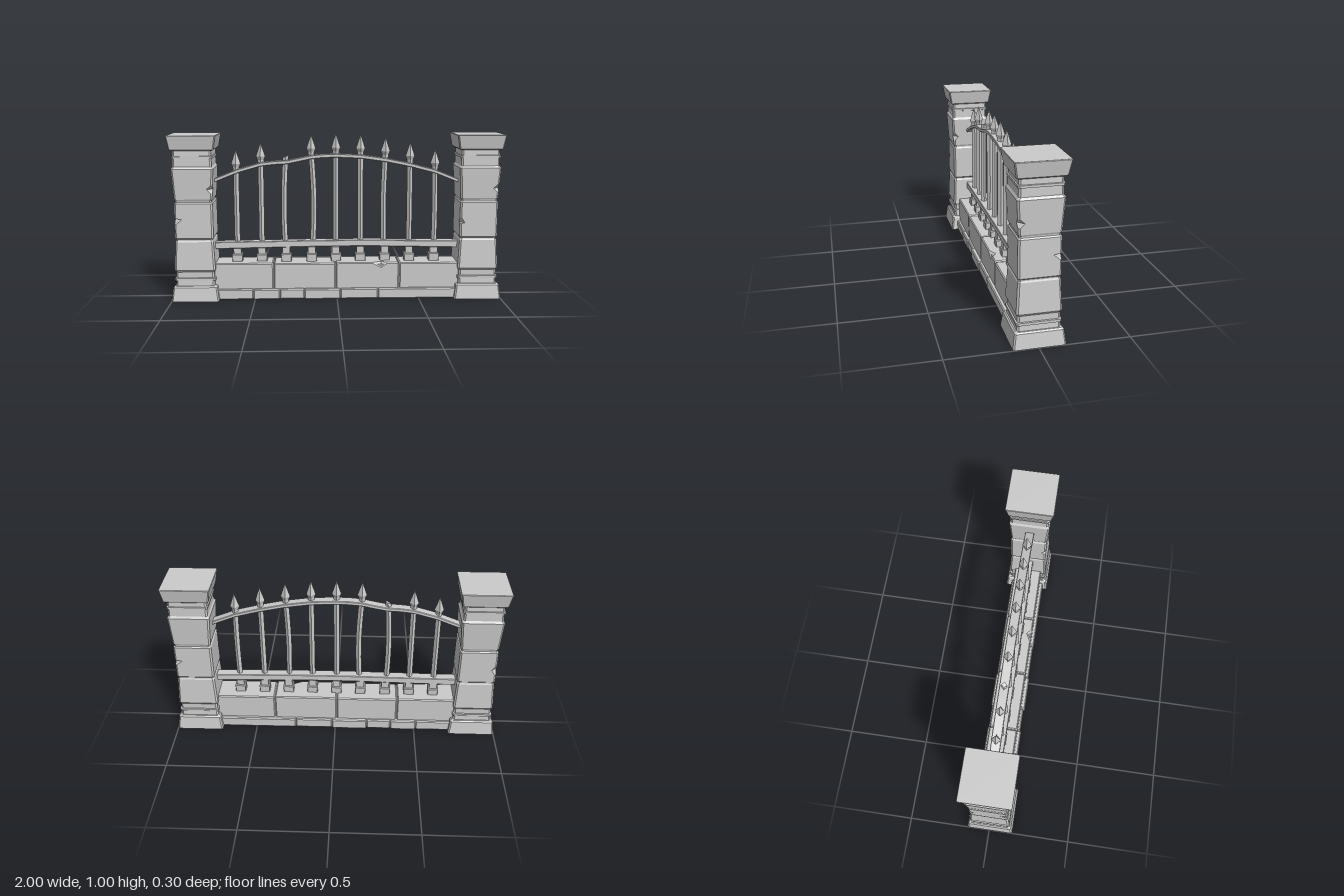
import * as THREE from 'three';

const material = new THREE.MeshStandardMaterial({ color: 0xcccccc, flatShading: true });

// Skin a row of equal-sized cross-sections (counter-clockwise seen from +y) and cap both ends.
function loft(sections) {
  const n = sections[0].length, index = [];
  const last = (sections.length - 1) * n;
  for (let i = 0; i < last; i += n) {
    for (let j = 0; j < n; j++) {
      const a = i + j, b = i + (j + 1) % n;
      index.push(a, b, b + n, a, b + n, a + n);
    }
  }
  for (let j = 1; j < n - 1; j++) {
    index.push(0, j + 1, j, last, last + j, last + j + 1);
  }
  const g = new THREE.BufferGeometry();
  g.setAttribute('position', new THREE.Float32BufferAttribute(sections.flat(2), 3));
  g.setIndex(index);
  const flat = g.toNonIndexed();
  flat.computeVertexNormals();
  return flat;
}

// Rectangle with one chamfer per corner; corner order: (+x+z), (+x-z), (-x-z), (-x+z).
const CORNERS = [[1, 1], [1, -1], [-1, -1], [-1, 1]];
function chamferedRect(y, hx, hz, chamfers, cx = 0) {
  return CORNERS.flatMap(([sx, sz], i) => {
    const c = chamfers[i];
    const onZ = [cx + sx * (hx - c), y, sz * hz];
    const onX = [cx + sx * hx, y, sz * (hz - c)];
    return sx * sz > 0 ? [onZ, onX] : [onX, onZ];
  });
}
const even = (c) => [c, c, c, c];

// Square section standing on its corner, for bars and spikes
const diamond = (y, r, cx = 0) => [[cx + r, y, 0], [cx, y, -r], [cx - r, y, 0], [cx, y, r]];

function add(parent, name, geometry, x = 0, y = 0, z = 0) {
  const mesh = new THREE.Mesh(geometry, material);
  mesh.name = name;
  mesh.position.set(x, y, z);
  parent.add(mesh);
  return mesh;
}

// Half widths up the pillar shaft: neck bands, three stones with joints, upper bands
const SHAFT = [
  [0.08, 0.117], [0.124, 0.114], [0.126, 0.122], [0.141, 0.122], [0.143, 0.114],
  [0.178, 0.114], [0.19, 0.122], [0.362, 0.113], [0.37, 0.109], [0.378, 0.109],
  [0.385, 0.115], [0.594, 0.114], [0.602, 0.108], [0.609, 0.108], [0.62, 0.113],
  [0.802, 0.124], [0.815, 0.115], [0.861, 0.114], [0.863, 0.12], [0.876, 0.12],
  [0.878, 0.114], [0.92, 0.112],
];

// Half width of the shaft at any height
function shaftWidth(y) {
  const i = SHAFT.findIndex((p) => p[0] > y);
  const [a, b] = [SHAFT[i - 1], SHAFT[i]];
  return THREE.MathUtils.lerp(a[1], b[1], (y - a[0]) / (b[0] - a[0]));
}

// chips: [corner, height, reach down, reach up, depth]
function makePillar(name, chips) {
  const pillar = new THREE.Group();
  pillar.name = name;
  add(pillar, 'pillarBase', loft([[0, 0.143], [0.085, 0.132], [0.093, 0.124]]
    .map(([y, w]) => chamferedRect(y, w, w, even(0.008)))));

  const rows = SHAFT.map((p) => [...p]);
  for (const [, y, down, up] of chips) {
    for (const t of [y - down, y, y + up]) rows.push([t, shaftWidth(t)]);
  }
  rows.sort((a, b) => a[0] - b[0]);
  add(pillar, 'pillarShaft', loft(rows.map(([y, w]) => {
    const chamfers = even(0.01);
    for (const [corner, cy, , , depth] of chips) if (y === cy) chamfers[corner] = depth;
    return chamferedRect(y, w, w, chamfers);
  })));

  add(pillar, 'pillarCap', loft([[0.91, 0.122], [0.917, 0.131], [0.997, 0.145], [1, 0.143]]
    .map(([y, w]) => chamferedRect(y, w, w, even(0.006)))));
  return pillar;
}

// Stone lying along x with softened edges; chip = [x, depth] on the top front edge
function makeStone(x0, x1, y0, y1, hz, chip) {
  const hy = (y1 - y0) / 2, b = 0.006;
  const ring = (x, inset, front = b) => chamferedRect(x, hy - inset, hz - inset, [b, b, b, front]);
  const rings = [ring(x0, b), ring(x0 + b, 0)];
  if (chip) {
    const [x, depth] = chip;
    rings.push(ring(x - 0.05, 0), ring(x, 0, depth), ring(x + 0.035, 0));
  }
  rings.push(ring(x1 - b, 0), ring(x1, b));
  return loft(rings).rotateZ(-Math.PI / 2).translate(0, (y0 + y1) / 2, 0);
}

// Rail following points [x, y, half height]
function makeRail(points, hz) {
  return loft(points.map(([x, y, h]) => chamferedRect(x, h, hz, even(0.003), -y)))
    .rotateZ(-Math.PI / 2);
}

// Bar positions: x, spike tip height, sideways bend
const BARS = [
  [-0.61, 0.905, 0], [-0.46, 0.948, 0], [-0.31, 0, -0.012], [-0.155, 0.995, 0.016],
  [-0.005, 1, 0], [0.145, 0.995, 0], [0.296, 0.978, -0.01], [0.447, 0.948, 0],
  [0.6, 0.905, 0.004],
];

function makeBar([x, tip, bend]) {
  const bar = new THREE.Group();
  bar.name = 'fenceBar';
  bar.position.x = x;
  const broken = tip === 0;
  const top = broken ? 0.85 : tip - 0.105;
  const rings = [];
  for (let i = 0; i <= 8; i++) {
    const t = i / 8;
    rings.push(diamond(0.22 + t * (top - 0.22), 0.017, bend * Math.sin(Math.PI * t)));
  }
  // Snapped end leans over
  if (broken) rings.push(diamond(0.864, 0.016, 0.004).map(([px, py, pz]) => [px, py + px * 0.4, pz]));
  add(bar, 'barShaft', loft(rings));
  if (!broken) {
    add(bar, 'spike', loft([[-0.118, 0.019], [-0.105, 0.019], [-0.083, 0.028], [0, 0.0008]]
      .map(([y, r]) => diamond(tip + y, r))));
  }
  // Square foot and collar
  add(bar, 'barFoot', loft([[0.215, 0.031], [0.262, 0.033], [0.266, 0.029]]
    .map(([y, w]) => chamferedRect(y, w, w, even(0.003)))));
  add(bar, 'barCollar', new THREE.BoxGeometry(0.046, 0.045, 0.046), 0, 0.285, 0);
  return bar;
}

export function createModel() {
  const model = new THREE.Group();
  model.name = 'fenceSection';

  // Pillars, each with its own chipped corners
  const left = makePillar('leftPillar', [
    [0, 0.68, 0.025, 0.025, 0.035], [1, 0.5, 0.035, 0.075, 0.045], [3, 0.47, 0.03, 0.035, 0.03],
  ]);
  left.position.set(0.857, 0, -0.005);
  const right = makePillar('rightPillar', [
    [3, 0.5, 0.03, 0.07, 0.045], [0, 0.68, 0.025, 0.025, 0.035], [2, 0.47, 0.03, 0.035, 0.03],
  ]);
  right.position.set(-0.857, 0, 0.003);
  model.add(left, right);

  // Low wall: footing course and upper course
  const footing = [-0.76, -0.51, -0.35, -0.2, 0.02, 0.25, 0.76];
  const depths = [0.106, 0.11, 0.104, 0.112, 0.106, 0.109];
  depths.forEach((d, i) => add(model, 'footingStone',
    makeStone(footing[i], footing[i + 1], 0, 0.064, d)));
  const joints = [-0.77, -0.387, -0.009, 0.38, 0.77];
  for (let i = 0; i < 4; i++) {
    add(model, 'wallStone', makeStone(joints[i] + 0.002, joints[i + 1] - 0.002, 0.055,
      0.222 - (i % 2) * 0.003, 0.088, i === 2 ? [0.27, 0.032] : null));
  }
  add(model, 'wallCore', new THREE.BoxGeometry(1.5, 0.2, 0.16), 0, 0.11, 0);

  // Rails
  add(model, 'lowerRail', makeRail([[-0.76, 0.321, 0.021], [-0.4, 0.326, 0.02], [-0.1, 0.331, 0.019],
    [0.2, 0.331, 0.019], [0.5, 0.326, 0.02], [0.76, 0.321, 0.021]], 0.03));
  const arch = [[-0.76, 0.714], [-0.68, 0.746], [-0.6, 0.778], [-0.46, 0.818], [-0.38, 0.827],
    [-0.3, 0.831], [-0.23, 0.845], [-0.155, 0.861], [-0.08, 0.868], [0, 0.87], [0.15, 0.863],
    [0.3, 0.842], [0.45, 0.811], [0.6, 0.772], [0.76, 0.708]];
  add(model, 'upperRail', makeRail(arch.map(([x, y]) => [x, y, 0.011]), 0.028));

  // Bars with spikes
  BARS.forEach((b) => model.add(makeBar(b)));
  return model;
}
